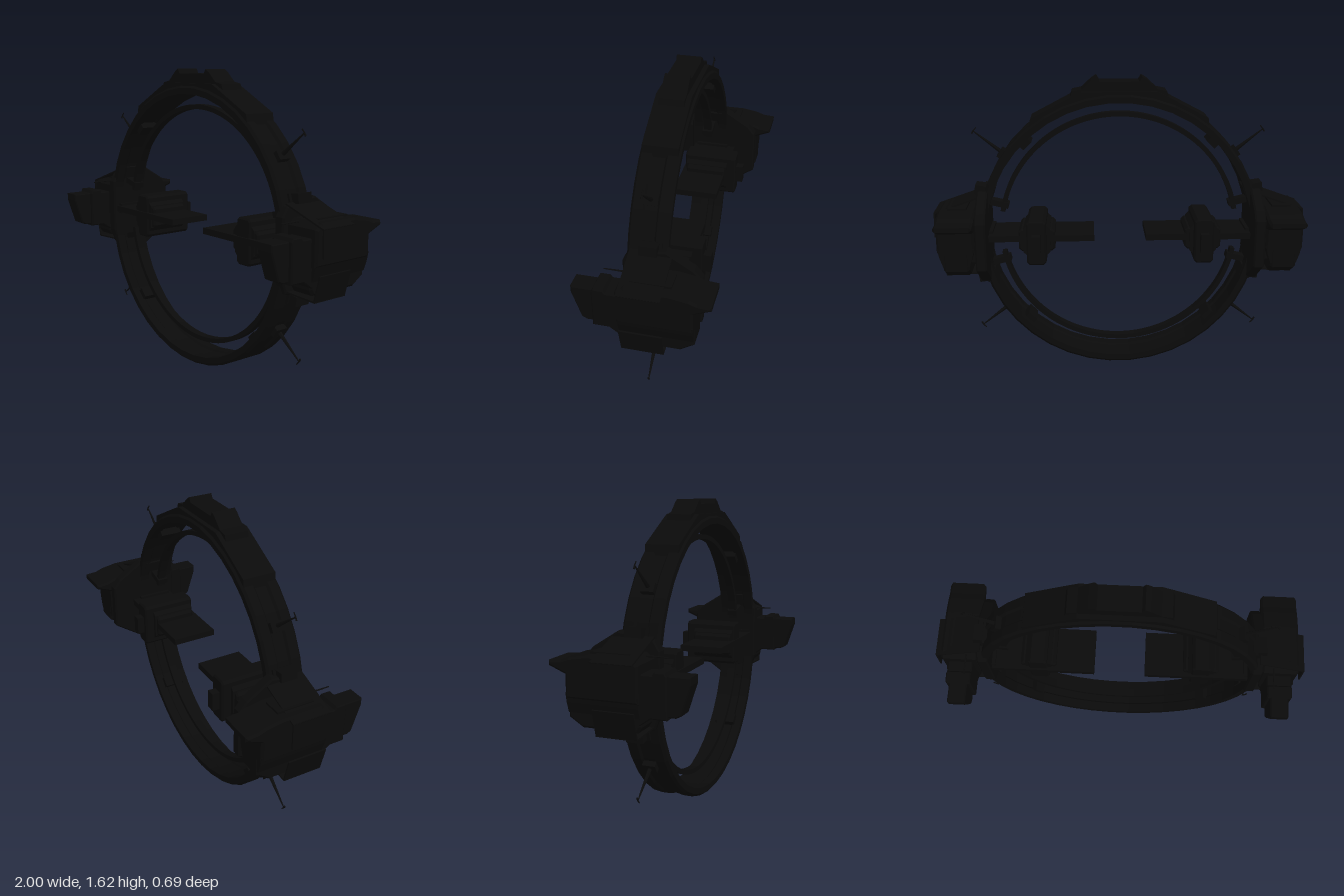
import * as THREE from 'three';

const CY = 0.77;   // height of the ring centre
const CZ = 0.015;  // mid plane of the ring
const material = new THREE.MeshStandardMaterial({ color: 0x0a0a0a, flatShading: true });

function add(group, name, geometry) {
  const mesh = new THREE.Mesh(geometry, material);
  mesh.name = name;
  group.add(mesh);
  return mesh;
}

function box(group, name, size, pos, rotZ = 0) {
  const mesh = add(group, name, new THREE.BoxGeometry(...size));
  mesh.position.set(...pos);
  mesh.rotation.z = rotZ;
  return mesh;
}

function outline(points) {
  return new THREE.Shape(points.map(([x, y]) => new THREE.Vector2(x, y)));
}

// Extrudes a shape and centres its depth on 0; the bevel stays inside the outline
function slab(shape, depth, bevel = 0) {
  const geometry = new THREE.ExtrudeGeometry(shape, {
    depth: depth - 2 * bevel, bevelEnabled: bevel > 0, bevelSegments: 1,
    bevelSize: bevel, bevelThickness: bevel, bevelOffset: -bevel, curveSegments: 40,
  });
  return geometry.translate(0, 0, bevel - depth / 2);
}

// Front profile (x, y) between two z values
function frontSlab(group, name, points, z0, z1, bevel = 0) {
  add(group, name, slab(outline(points), z1 - z0, bevel)).position.z = (z0 + z1) / 2;
}

// Side profile (z, y) between two x values
function sideSlab(group, name, points, x0, x1, s, bevel = 0) {
  const geometry = slab(outline(points), x1 - x0, bevel).rotateY(-Math.PI / 2);
  add(group, name, geometry).position.x = s * (x0 + x1) / 2;
}

// Thin rod between two points
function rod(group, name, from, to, r0, r1) {
  const a = new THREE.Vector3(...from), b = new THREE.Vector3(...to);
  const mesh = add(group, name, new THREE.CylinderGeometry(r1, r0, a.distanceTo(b), 6));
  mesh.position.copy(a).lerp(b, 0.5);
  mesh.quaternion.setFromUnitVectors(new THREE.Vector3(0, 1, 0), b.sub(a).normalize());
}

// Bent sheet following (x, y) points, given a small thickness
function sheet(group, name, points, thick, s) {
  for (let i = 0; i < points.length - 1; i++) {
    const [ax, ay] = points[i], [bx, by] = points[i + 1];
    box(group, name, [Math.hypot(bx - ax, by - ay) + thick, thick, 0.21],
      [s * (ax + bx) / 2, (ay + by) / 2, -0.01], Math.atan2(by - ay, s * (bx - ax)));
  }
}

const polar = (r, a, s) => [s * r * Math.cos(a), CY + r * Math.sin(a)];

function buildRings(group) {
  // Main ring: chamfered band with a shallow groove outside and inside
  const profile = [
    [0.725, -0.09], [0.725, -0.1], [0.757, -0.1], [0.77, -0.088], [0.77, -0.04], [0.758, -0.03],
    [0.758, 0.03], [0.77, 0.04], [0.77, 0.088], [0.757, 0.1], [0.725, 0.1], [0.725, 0.05],
    [0.735, 0.04], [0.735, -0.04], [0.725, -0.05], [0.725, -0.09],
  ].map(([r, y]) => new THREE.Vector2(r, y));
  const ring = add(group, 'mainRing', new THREE.LatheGeometry(profile, 40, Math.PI / 40));
  ring.rotation.x = Math.PI / 2;
  ring.position.set(0, CY, CZ);

  // Thin inner arcs, above and below
  for (const start of [0, Math.PI]) {
    const a0 = start + 0.18, a1 = start + Math.PI - 0.18;
    const arc = new THREE.Shape();
    arc.absarc(0, 0, 0.663, a0, a1, false);
    arc.absarc(0, 0, 0.638, a1, a0, true);
    add(group, 'innerArc', slab(arc, 0.045)).position.set(0, CY + 0.003, CZ);
  }

  // Armour and raised housing on top of the ring
  const half = [[0.48, 1.35], [0.47, 1.41], [0.25, 1.525]];
  const inner = [];
  for (let i = 0; i <= 12; i++) {
    const a = THREE.MathUtils.lerp(2.25, Math.PI - 2.25, i / 12);
    inner.push([0.74 * Math.cos(a), CY + 0.74 * Math.sin(a)]);
  }
  const mirror = (pts) => pts.map(([x, y]) => [-x, y]).reverse();
  frontSlab(group, 'topArmour', [...inner, ...half, [0.2, 1.55], [-0.2, 1.55], ...mirror(half)], -0.075, 0.105);
  const cap = [[0.27, 1.49], [0.25, 1.55], [0.2, 1.56], [0.145, 1.61], [0.12, 1.625], [0.105, 1.6]];
  frontSlab(group, 'topHousing', [...cap, ...mirror(cap)], -0.05, 0.08);
}

function buildArm(group, s) {
  // Flat arm reaching towards the centre
  box(group, 'arm', [0.59, 0.034, 0.25], [s * 0.435, 0.773, -0.015]);
  box(group, 'armRearRail', [0.25, 0.032, 0.03], [s * 0.265, 0.773, -0.125]);
  box(group, 'armRoot', [0.06, 0.06, 0.19], [s * 0.72, 0.773, 0]);

  // Cross-shaped module on the arm
  const x = s * 0.45;
  const cross = (w, h, c) => [
    [w - c, -h], [w, -h + c], [w, h - c], [w - c, h],
    [c - w, h], [-w, h - c], [-w, c - h], [c - w, -h],
  ].map(([px, py]) => [x + px, 0.765 + py]);
  frontSlab(group, 'moduleCore', cross(0.052, 0.123, 0.015), -0.2, 0.1, 0.008);
  frontSlab(group, 'moduleSides', cross(0.098, 0.062, 0.015), -0.14, 0.085, 0.008);
  frontSlab(group, 'moduleShoulders', cross(0.072, 0.085, 0.02), -0.15, 0.09);
  box(group, 'moduleTail', [0.046, 0.1, 0.06], [x, 0.765, -0.21]);
}

function buildPod(group, s) {
  // Bracket that clamps around the ring
  sideSlab(group, 'bracket', [
    [0.1, 0.56], [0.13, 0.64], [0.13, 0.94], [0.1, 0.99], [-0.085, 1.025], [-0.22, 0.94],
    [-0.26, 0.89], [-0.26, 0.635], [-0.085, 0.515],
  ], 0.71, 0.768, s, 0.008);
  box(group, 'podMount', [0.1, 0.2, 0.26], [s * 0.77, 0.76, -0.06]);

  // Pod body: wide upper hull, narrower lower hull
  sideSlab(group, 'podUpperHull', [
    [0.11, 0.73], [0.11, 0.91], [0.07, 0.94], [-0.15, 0.94], [-0.24, 0.925], [-0.28, 0.91], [-0.345, 0.905],
    [-0.345, 0.88], [-0.26, 0.845], [-0.26, 0.73],
  ], 0.77, 0.968, s, 0.012);
  frontSlab(group, 'podWaist', [
    [0.773, 0.76], [0.965, 0.76], [0.955, 0.71], [0.938, 0.66], [0.8, 0.66], [0.783, 0.71],
  ].map(([x, y]) => [s * x, y]), -0.258, 0.105);
  sideSlab(group, 'podLowerHull', [
    [0.09, 0.59], [0.11, 0.62], [0.11, 0.74], [-0.26, 0.74], [-0.26, 0.635], [-0.19, 0.59],
  ], 0.8, 0.938, s, 0.012);
  box(group, 'podRoofPanel', [0.1, 0.014, 0.2], [s * 0.868, 0.943, -0.05]);

  // Stepped nose pointing forward
  sideSlab(group, 'noseBase', [
    [0.09, 0.62], [0.155, 0.665], [0.235, 0.665], [0.235, 0.865], [0.225, 0.883], [0.175, 0.883], [0.165, 0.868], [0.09, 0.868],
  ], 0.803, 0.937, s, 0.006);
  sideSlab(group, 'noseTip', [
    [0.2, 0.675], [0.27, 0.675], [0.295, 0.687], [0.342, 0.83], [0.342, 0.867], [0.2, 0.867],
  ], 0.82, 0.918, s, 0.006);

  // Thin shield plates around the pod
  sheet(group, 'upperShield', [[0.75, 1.0], [0.993, 0.915], [0.996, 0.785]], 0.008, s);
  sheet(group, 'lowerShield', [[0.75, 0.572], [0.945, 0.563], [0.978, 0.69]], 0.008, s);
  rod(group, 'sensorRod', [s * 0.83, 0.93, 0.09], [s * 0.83, 0.93, 0.2], 0.005, 0.003);
}

function buildRingFittings(group, s, v) {
  const at = (r, deg) => polar(r, v * THREE.MathUtils.degToRad(deg), s);
  const turn = (deg) => s * v * THREE.MathUtils.degToRad(deg);

  // Strut from the ring to the inner arc
  box(group, 'arcStrut', [0.1, 0.032, 0.06], [...at(0.675, 14), CZ], turn(14));
  // Clamp blocks on the rim
  box(group, 'shieldClamp', [0.075, 0.05, 0.09], [s * 0.745, CY + v * 0.25, 0], turn(8));
  box(group, 'clampFoot', [0.06, 0.06, 0.12], [...at(0.75, 18.5), 0], turn(18.5));
  box(group, 'innerBlock', [0.045, 0.06, 0.12], [...at(0.716, 45), CZ], turn(45));
  box(group, 'antennaBase', [0.045, 0.05, 0.07], [...at(0.765, 35), CZ], turn(35));
  // Hooked antenna
  const root = [s * 0.63, CY + v * 0.445, CZ], tip = [s * 0.782, CY + v * 0.565, CZ];
  const hookA = [s * 0.79, CY + v * 0.55, CZ], hookB = [s * 0.766, CY + v * 0.583, CZ];
  rod(group, 'antenna', root, tip, 0.012, 0.003);
  rod(group, 'antennaHook', hookB, tip, 0.003, 0.004);
  rod(group, 'antennaHook', tip, hookA, 0.004, 0.005);
}

export function createModel() {
  const model = new THREE.Group();
  model.name = 'ringStation';
  const part = (name, build, ...args) => {
    const group = new THREE.Group();
    group.name = name;
    build(group, ...args);
    model.add(group);
  };

  part('rings', buildRings);
  for (const s of [1, -1]) {
    const side = s > 0 ? 'left' : 'right';
    part(side + 'Arm', buildArm, s);
    part(side + 'Pod', buildPod, s);
    part(side + 'UpperFittings', buildRingFittings, s, 1);
    part(side + 'LowerFittings', buildRingFittings, s, -1);
  }
  return model;
}
